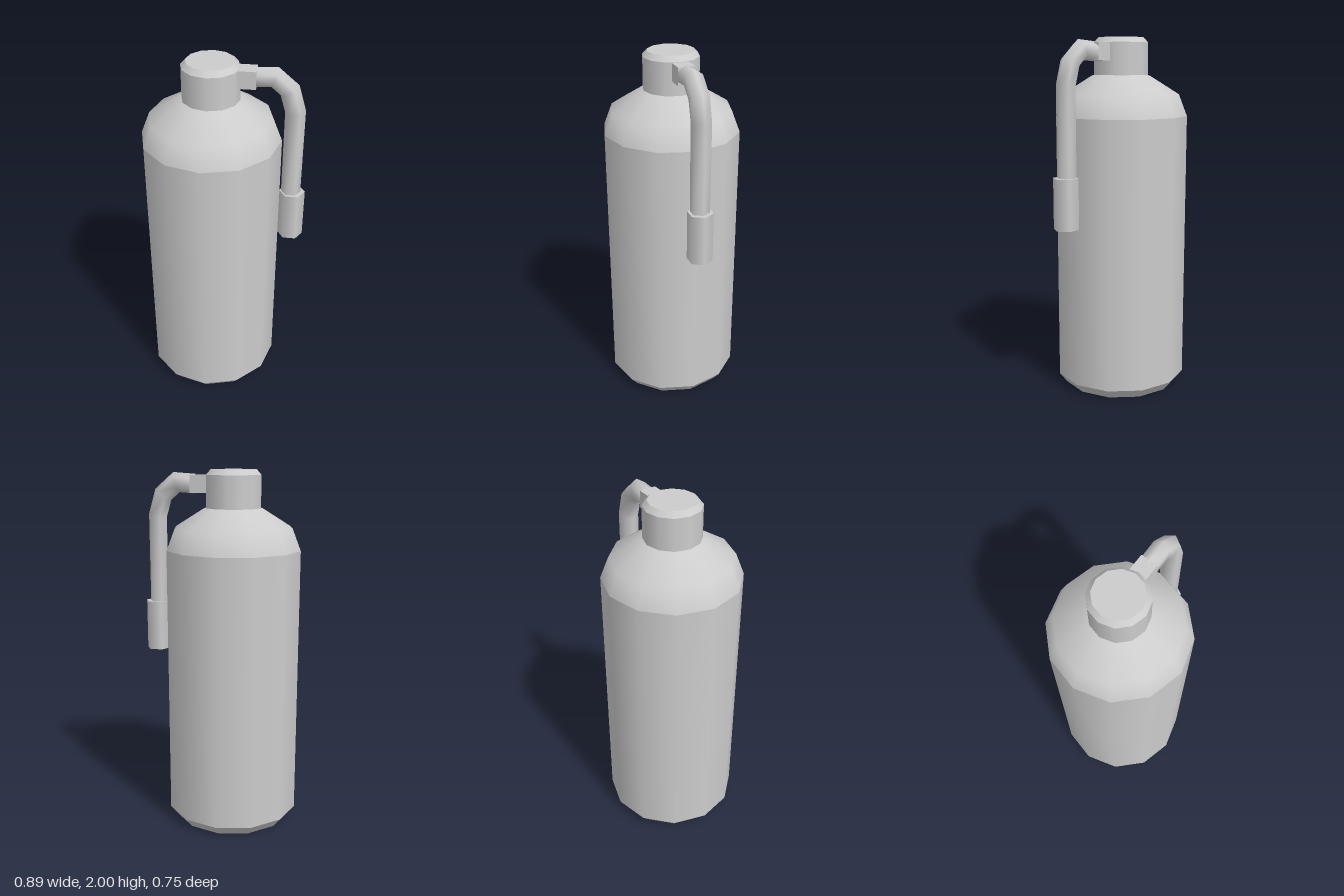
import * as THREE from 'three';

const metal = new THREE.MeshStandardMaterial({ color: 0xcccccc });
metal.name = 'light grey metal';

function add(parent, name, geometry, x = 0, y = 0, z = 0) {
  const mesh = new THREE.Mesh(geometry, metal);
  mesh.name = name;
  mesh.position.set(x, y, z);
  parent.add(mesh);
  return mesh;
}

// Twelve-sided turned section; separate sections keep the edges between them sharp
function turned(parent, name, profile) {
  const points = profile.map(([r, y]) => new THREE.Vector2(r, y));
  return add(parent, name, new THREE.LatheGeometry(points, 12));
}

// Six-sided hose swept along a path in the xy plane with mitred joints
function hoseGeometry(path, radius, depth) {
  const pts = path.map(([x, y]) => new THREE.Vector2(x, y));
  const sides = 6, positions = [], indices = [];
  pts.forEach((p, i) => {
    const before = pts[Math.max(i - 1, 0)], after = pts[Math.min(i + 1, pts.length - 1)];
    const a = (i ? p.clone().sub(before) : after.clone().sub(p)).normalize();
    const b = (i < pts.length - 1 ? after.clone().sub(p) : a.clone()).normalize();
    const t = a.clone().add(b).normalize();
    const stretch = radius / t.dot(a);
    for (let s = 0; s < sides; s++) {
      const angle = (s / sides) * Math.PI * 2;
      const n = Math.cos(angle) * stretch;
      positions.push(p.x - t.y * n, p.y + t.x * n, Math.sin(angle) * depth);
    }
  });
  for (let i = 0; i < pts.length - 1; i++) {
    for (let s = 0; s < sides; s++) {
      const a = i * sides + s, b = i * sides + (s + 1) % sides;
      indices.push(a, b, b + sides, a, b + sides, a + sides);
    }
  }
  const g = new THREE.BufferGeometry();
  g.setAttribute('position', new THREE.Float32BufferAttribute(positions, 3));
  g.setIndex(indices);
  g.computeVertexNormals();
  return g;
}

export function createModel() {
  const model = new THREE.Group();
  model.name = 'fireExtinguisher';

  // Tank with bevelled foot, rounded shoulder and neck
  const tank = new THREE.Group();
  tank.name = 'tank';
  tank.position.x = -0.07;
  model.add(tank);
  turned(tank, 'tankBottom', [[0, 0], [0.332, 0]]);
  turned(tank, 'tankFootBevel', [[0.332, 0], [0.377, 0.057]]);
  turned(tank, 'tankWall', [[0.377, 0.057], [0.377, 1.57]]);
  turned(tank, 'tankShoulder', [[0.377, 1.57], [0.33, 1.69], [0.168, 1.79], [0.13, 1.803]]);
  turned(tank, 'neck', [[0.154, 1.795], [0.154, 1.972]]);
  turned(tank, 'neckBevel', [[0.154, 1.972], [0.129, 2]]);
  turned(tank, 'neckTop', [[0.129, 2], [0, 2]]);

  // Outlet block on the side of the neck
  add(model, 'outletBlock', new THREE.BoxGeometry(0.105, 0.095, 0.092), 0.113, 1.922, 0);

  // Bent hose hanging down to the nozzle
  const path = [[0.15, 1.922], [0.255, 1.929], [0.334, 1.862], [0.368, 1.745], [0.368, 1.2]];
  add(model, 'hose', hoseGeometry(path, 0.053, 0.053));

  // Six-sided nozzle with corners facing left and right
  const nozzle = new THREE.CylinderGeometry(0.07, 0.07, 0.28, 6);
  nozzle.rotateY(Math.PI / 6);
  add(model, 'nozzle', nozzle, 0.376, 1.12, 0);

  return model;
}
